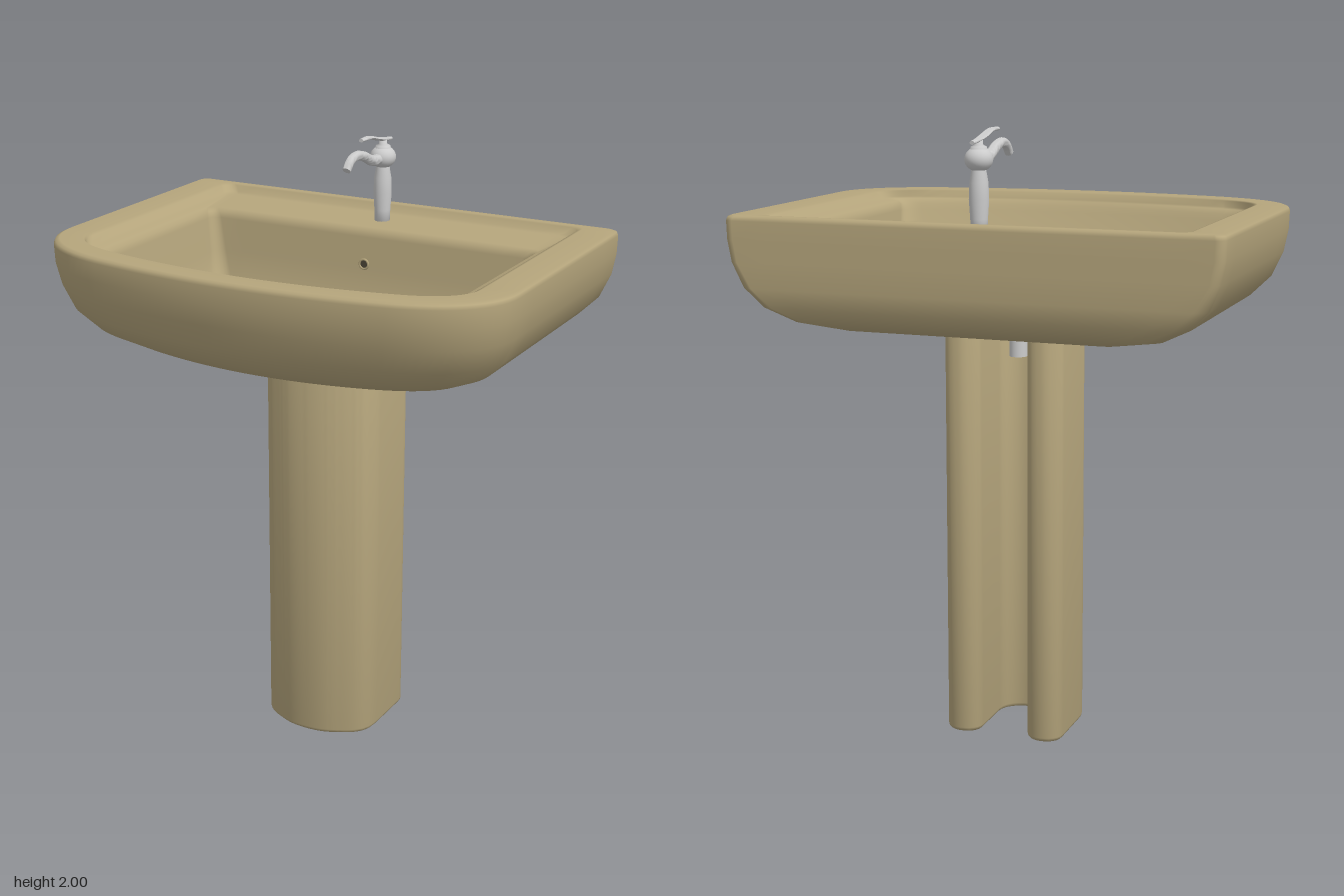
import * as THREE from 'three';
import { toCreasedNormals } from 'three/addons/utils/BufferGeometryUtils.js';

const ceramic = new THREE.MeshStandardMaterial({ color: 0xb5a57c });
const metal = new THREE.MeshStandardMaterial({ color: 0xcccccc });
const V2 = (x, y) => new THREE.Vector2(x, y);
const V3 = (x, y, z) => new THREE.Vector3(x, y, z);

function add(parent, name, geometry, material, x = 0, y = 0, z = 0) {
  const mesh = new THREE.Mesh(geometry, material);
  mesh.name = name;
  mesh.position.set(x, y, z);
  parent.add(mesh);
  return mesh;
}

const lathe = (pairs, seg = 32) => new THREE.LatheGeometry(pairs.map(([r, y]) => V2(r, y)), seg);

// Plan outline: straight back, small back corners, straight sides, wide front corners, bowed front
function outline([, hx, zb, zf, rb, bow, cx, cz]) {
  const half = [], ze = zf - bow, xe = hx - cx, slope = xe > 0 ? 2 * bow / xe : 0;
  for (let i = 0; i < 8; i++) half.push(V2((hx - rb) * i / 8, zb));
  for (let i = 0; i <= 6; i++) {
    const a = Math.PI / 2 * i / 6;
    half.push(V2(hx - rb + rb * Math.sin(a), zb + rb - rb * Math.cos(a)));
  }
  for (let i = 1; i < 8; i++) half.push(V2(hx, THREE.MathUtils.lerp(zb + rb, ze - cz, i / 8)));
  const corner = new THREE.CubicBezierCurve(V2(hx, ze - cz), V2(hx, ze - cz * 0.45),
    V2(xe + 0.55 * cx, ze - 0.55 * cx * slope), V2(xe, ze));
  const front = new THREE.QuadraticBezierCurve(V2(xe, ze), V2(xe / 2, zf), V2(0, zf));
  half.push(...corner.getPoints(14), ...front.getPoints(12).slice(1));
  const mirrored = half.slice(1, -1).reverse().map(p => V2(-p.x, p.y));
  return [...half, ...mirrored];
}

// Skin consecutive rings into one smooth surface
function loft(rings) {
  const pos = [], index = [];
  let n = 0;
  rings.forEach(ring => {
    const pts = outline(ring);
    n = pts.length;
    pts.forEach(p => pos.push(p.x, ring[0], p.y));
  });
  for (let j = 0; j < rings.length - 1; j++) {
    for (let i = 0; i < n; i++) {
      const a = j * n + i, b = j * n + (i + 1) % n, c = a + n, d = b + n;
      index.push(a, c, b, b, c, d);
    }
  }
  const g = new THREE.BufferGeometry();
  g.setAttribute('position', new THREE.Float32BufferAttribute(pos, 3));
  g.setIndex(index);
  g.computeVertexNormals();
  return g;
}

// Tube along a path in the x = 0 plane with a tapering elliptical section
function taperedTube(points, width, thickness) {
  const curve = new THREE.CatmullRomCurve3(points.map(([z, y]) => V3(0, y, z)));
  const rows = 28, cols = 14, pos = [], index = [];
  for (let j = 0; j <= rows + 2; j++) {
    const t = THREE.MathUtils.clamp((j - 1) / rows, 0, 1);
    const p = curve.getPointAt(t), d = curve.getTangentAt(t);
    const k = j === 0 || j === rows + 2 ? 0 : 1;
    for (let i = 0; i < cols; i++) {
      const a = i / cols * Math.PI * 2, s = Math.sin(a) * thickness(t) * k;
      pos.push(Math.cos(a) * width(t) * k, p.y + s * d.z, p.z - s * d.y);
    }
  }
  for (let j = 0; j < rows + 2; j++) {
    for (let i = 0; i < cols; i++) {
      const a = j * cols + i, b = j * cols + (i + 1) % cols;
      index.push(a, b, a + cols, b, b + cols, a + cols);
    }
  }
  const g = new THREE.BufferGeometry();
  g.setAttribute('position', new THREE.Float32BufferAttribute(pos, 3));
  g.setIndex(index);
  return toCreasedNormals(g, 0.9);
}

function makeBasin() {
  // y, half width, back z, front z, back radius, bow, front corner width, front corner depth
  const outer = [
    [1.36, 0.001, -0.1, -0.099, 0, 0, 0, 0],
    [1.36, 0.3, -0.4, 0.25, 0.05, 0.03, 0.1, 0.1],
    [1.37, 0.46, -0.49, 0.35, 0.05, 0.04, 0.18, 0.15],
    [1.395, 0.6, -0.54, 0.42, 0.05, 0.05, 0.23, 0.2],
    [1.44, 0.69, -0.572, 0.49, 0.045, 0.05, 0.26, 0.23],
    [1.5, 0.75, -0.583, 0.535, 0.04, 0.05, 0.28, 0.25],
    [1.58, 0.785, -0.585, 0.566, 0.03, 0.05, 0.3, 0.27],
    [1.65, 0.798, -0.585, 0.581, 0.03, 0.05, 0.3, 0.28],
    [1.71, 0.8, -0.585, 0.583, 0.03, 0.05, 0.3, 0.28],
    [1.722, 0.796, -0.582, 0.579, 0.03, 0.05, 0.3, 0.28],
    [1.727, 0.786, -0.572, 0.57, 0.03, 0.05, 0.3, 0.28],
  ];
  const inner = [
    [1.727, 0.69, -0.553, 0.5, 0.04, 0.06, 0.18, 0.17],
    [1.722, 0.675, -0.546, 0.49, 0.04, 0.06, 0.15, 0.14],
    [1.702, 0.662, -0.537, 0.483, 0.04, 0.06, 0.12, 0.11],
    [1.696, 0.645, -0.522, 0.479, 0.04, 0.065, 0.1, 0.08],
    [1.69, 0.62, -0.345, 0.473, 0.03, 0.07, 0.07, 0.05],
    [1.68, 0.607, -0.33, 0.467, 0.03, 0.07, 0.06, 0.045],
    [1.66, 0.6, -0.325, 0.455, 0.035, 0.07, 0.06, 0.05],
    [1.55, 0.58, -0.312, 0.4, 0.04, 0.065, 0.07, 0.06],
    [1.45, 0.56, -0.295, 0.32, 0.05, 0.05, 0.08, 0.07],
    [1.415, 0.53, -0.27, 0.26, 0.05, 0.04, 0.08, 0.07],
    [1.4, 0.47, -0.21, 0.18, 0.05, 0.03, 0.08, 0.07],
    [1.4, 0.001, -0.1, -0.099, 0, 0, 0, 0],
  ];
  return loft([...outer, ...inner]);
}

// U-shaped column, open at the back (shape y is -z)
function makePedestal() {
  const s = new THREE.Shape(), b = 0.015, h = 1.357;
  s.moveTo(0, -0.1);
  s.bezierCurveTo(0.06, -0.1, 0.09, -0.085, 0.12, -0.07);
  s.bezierCurveTo(0.17, -0.045, 0.2, -0.02, 0.2, 0.05);
  s.lineTo(0.2, 0.225);
  s.bezierCurveTo(0.2, 0.3, 0.08, 0.3, 0.08, 0.225);
  s.lineTo(0.08, 0.07);
  s.bezierCurveTo(0.08, -0.03, -0.08, -0.03, -0.08, 0.07);
  s.lineTo(-0.08, 0.225);
  s.bezierCurveTo(-0.08, 0.3, -0.2, 0.3, -0.2, 0.225);
  s.lineTo(-0.2, 0.05);
  s.bezierCurveTo(-0.2, -0.02, -0.17, -0.045, -0.12, -0.07);
  s.bezierCurveTo(-0.09, -0.085, -0.06, -0.1, 0, -0.1);
  const g = new THREE.ExtrudeGeometry(s, {
    depth: h - 2 * b, bevelSize: b, bevelThickness: b, bevelOffset: -b, bevelSegments: 3, curveSegments: 12,
  });
  g.translate(0, 0, b).rotateX(-Math.PI / 2);
  return toCreasedNormals(g, 0.7);
}

export function createModel() {
  const model = new THREE.Group();
  model.name = 'pedestalSink';
  add(model, 'basin', makeBasin(), ceramic);
  add(model, 'pedestal', makePedestal(), ceramic);

  // Overflow opening on the back wall of the bowl
  const hole = new THREE.MeshStandardMaterial({ color: 0x4a4435 });
  add(model, 'overflowRim', new THREE.TorusGeometry(0.016, 0.004, 8, 24), ceramic, 0, 1.57, -0.312);
  add(model, 'overflowHole', new THREE.CircleGeometry(0.016, 24), hole, 0, 1.57, -0.311);

  // Drain with flange, raised stopper and tailpipe
  const drain = new THREE.Group();
  drain.name = 'drain';
  drain.position.set(0, 1.4, -0.1);
  add(drain, 'drainFlange', toCreasedNormals(
    lathe([[0.08, -0.005], [0.08, 0.005], [0.074, 0.01], [0.058, 0.008], [0.05, 0.001], [0, 0.001]], 40), 0.6), metal);
  add(drain, 'drainStopper', toCreasedNormals(
    lathe([[0.054, 0.004], [0.055, 0.012], [0.05, 0.018], [0.025, 0.022], [0, 0.023]], 40), 0.7), metal);
  add(drain, 'drainTailpipe', new THREE.CylinderGeometry(0.03, 0.03, 0.14, 24), metal, 0, -0.08, 0);
  model.add(drain);

  // Tap: bulged column, ball, cap, spout and lever
  const tap = new THREE.Group();
  tap.name = 'tap';
  add(tap, 'tapBody', lathe([[0, 1.68], [0.025, 1.68], [0.027, 1.73], [0.031, 1.79], [0.029, 1.84],
    [0.023, 1.875], [0.022, 1.89]]), metal, 0, 0, -0.445);
  add(tap, 'tapBall', new THREE.SphereGeometry(0.044, 28, 18), metal, 0, 1.91, -0.445).scale.y = 0.86;
  add(tap, 'tapCap', lathe([[0.028, 1.935], [0.024, 1.948], [0.014, 1.953], [0.012, 1.972], [0, 1.974]]),
    metal, 0, 0, -0.445);
  add(tap, 'spout', taperedTube([[-0.42, 1.905], [-0.36, 1.913], [-0.3, 1.938], [-0.25, 1.948], [-0.21, 1.938], [-0.184, 1.912]],
    t => 0.019 - 0.005 * t, t => 0.019 - 0.005 * t), metal);
  add(tap, 'lever', taperedTube([[-0.5, 1.962], [-0.45, 1.968], [-0.4, 1.978], [-0.34, 1.992], [-0.285, 1.992]],
    t => 0.008 + 0.007 * Math.sin(Math.PI * t), () => 0.006), metal);
  model.add(tap);
  return model;
}
